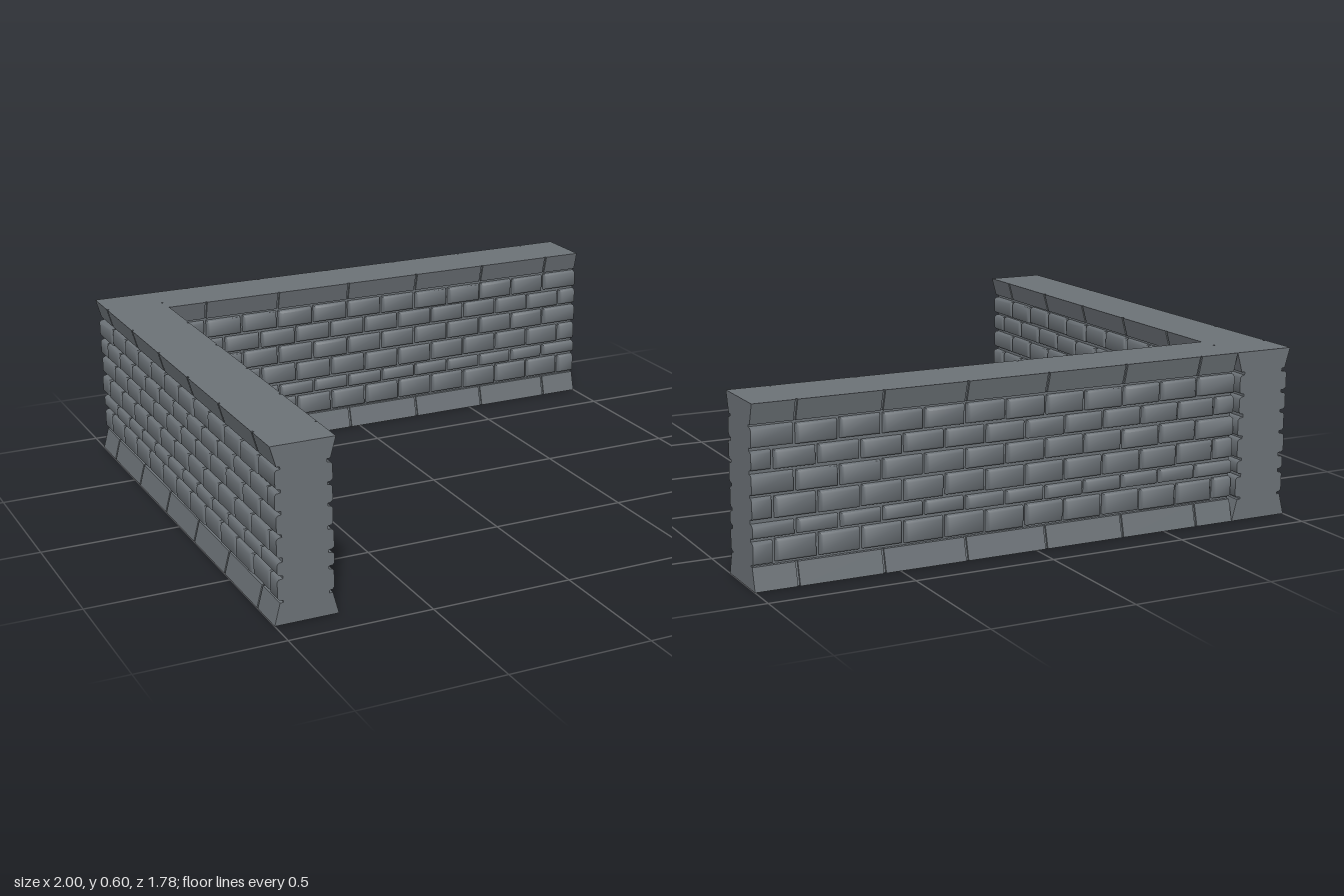
import * as THREE from 'three';
import { mergeGeometries, toCreasedNormals } from 'three/addons/utils/BufferGeometryUtils.js';

const LENGTH = 1.78, HALF = LENGTH / 2, HEIGHT = 0.6, FACE = 0.11, CORE = 0.078;
const PITCH = LENGTH / 12;

// brick courses from bottom to top: [y0, y1]
const COURSES = [
  [0.08, 0.16], [0.164, 0.217], [0.222, 0.298],
  [0.302, 0.375], [0.379, 0.447], [0.451, 0.524],
];

function makeRandom(seed) {
  return () => (seed = (seed * 16807) % 2147483647) / 2147483647;
}

// bevelled brick: rectangular loops shrinking toward the front; cut flat at the wall ends
function brickGeometry(u0, u1, y0, y1, front) {
  const loops = [[0.003, CORE], [0.005, front - 0.006], [0.012, front]];
  const pos = [], index = [];
  for (const [inset, z] of loops) {
    const l = u0 < -HALF + 0.001 ? -HALF : u0 + inset + 0.002;
    const r = u1 > HALF - 0.001 ? HALF : u1 - inset - 0.002;
    const lo = y0 + inset, hi = y1 - inset;
    pos.push(l, lo, z, r, lo, z, r, hi, z, l, hi, z);
  }
  for (let i = 0; i < loops.length - 1; i++) {
    for (let j = 0; j < 4; j++) {
      const a = i * 4 + j, b = i * 4 + (j + 1) % 4;
      index.push(a, b, b + 4, a, b + 4, a + 4);
    }
  }
  index.push(8, 9, 10, 8, 10, 11);
  const geo = new THREE.BufferGeometry();
  geo.setAttribute('position', new THREE.Float32BufferAttribute(pos, 3));
  geo.setIndex(index);
  return toCreasedNormals(geo, 1.05);
}

// trim block whose face slopes inward toward the bricks
function trimGeometry(u0, u1, y0, y1, zLow, zHigh) {
  const geo = new THREE.BoxGeometry(u1 - u0, y1 - y0, 1);
  const p = geo.attributes.position;
  for (let i = 0; i < p.count; i++) {
    const high = p.getY(i) > 0;
    const z = p.getZ(i) < 0 ? CORE : high ? zHigh : zLow;
    p.setXYZ(i, p.getX(i) + (u0 + u1) / 2, high ? y1 : y0, z);
  }
  geo.computeVertexNormals();
  return geo;
}

function wallFace(stone, random) {
  const face = new THREE.Group();
  face.name = 'wallFace';
  const add = (name, parts) => {
    const mesh = new THREE.Mesh(mergeGeometries(parts), stone);
    mesh.name = name;
    face.add(mesh);
  };

  // running bond: alternate courses shift by half a brick
  const bricks = [];
  COURSES.forEach(([y0, y1], row) => {
    const shift = row % 2 ? 0 : PITCH / 2;
    for (let u = -HALF - shift; u < HALF - 0.01; u += PITCH) {
      const dy = (random() - 0.5) * 0.004;
      const front = 0.097 + (random() - 0.5) * 0.004;
      bricks.push(brickGeometry(u, u + PITCH, y0 + dy, y1 + dy, front));
    }
  });
  add('bricks', bricks);

  // base and coping courses: blocks two bricks long, with shallow grooves between
  const trims = { baseTrim: [0, 0.076, FACE, 0.09], copingTrim: [0.53, HEIGHT, 0.09, FACE] };
  for (const [name, [y0, y1, zLow, zHigh]] of Object.entries(trims)) {
    const blocks = [trimGeometry(-HALF, HALF, y0, y1, zLow - 0.007, zHigh - 0.007)];
    for (let k = 0; k < 7; k++) {
      const u0 = k === 0 ? -HALF : -HALF + (2 * k - 1) * PITCH + 0.004;
      const u1 = k === 6 ? HALF : -HALF + (2 * k + 1) * PITCH - 0.004;
      blocks.push(trimGeometry(u0, u1, y0, y1, zLow, zHigh));
    }
    add(name, blocks);
  }
  return face;
}

function wallSegment(name, stone, random) {
  const wall = new THREE.Group();
  wall.name = name;
  const core = new THREE.Mesh(new THREE.BoxGeometry(LENGTH, HEIGHT, CORE * 2), stone);
  core.name = 'wallCore';
  core.position.y = HEIGHT / 2;
  wall.add(core);
  // the same stonework on both sides
  for (const turn of [0, Math.PI]) {
    const face = wallFace(stone, random);
    face.rotation.y = turn;
    wall.add(face);
  }
  return wall;
}

export function createModel() {
  const stone = new THREE.MeshStandardMaterial({ color: 0x6b7176 });
  stone.name = 'grey stone';
  const random = makeRandom(4711);
  const model = new THREE.Group();
  model.name = 'cornerWall';

  // two identical straight walls meeting at the back corner
  const backWall = wallSegment('backWall', stone, random);
  backWall.position.set(0.11, 0, -0.78);
  const sideWall = wallSegment('sideWall', stone, random);
  sideWall.rotation.y = Math.PI / 2;
  sideWall.position.set(-0.89, 0, 0);
  model.add(backWall, sideWall);
  return model;
}
